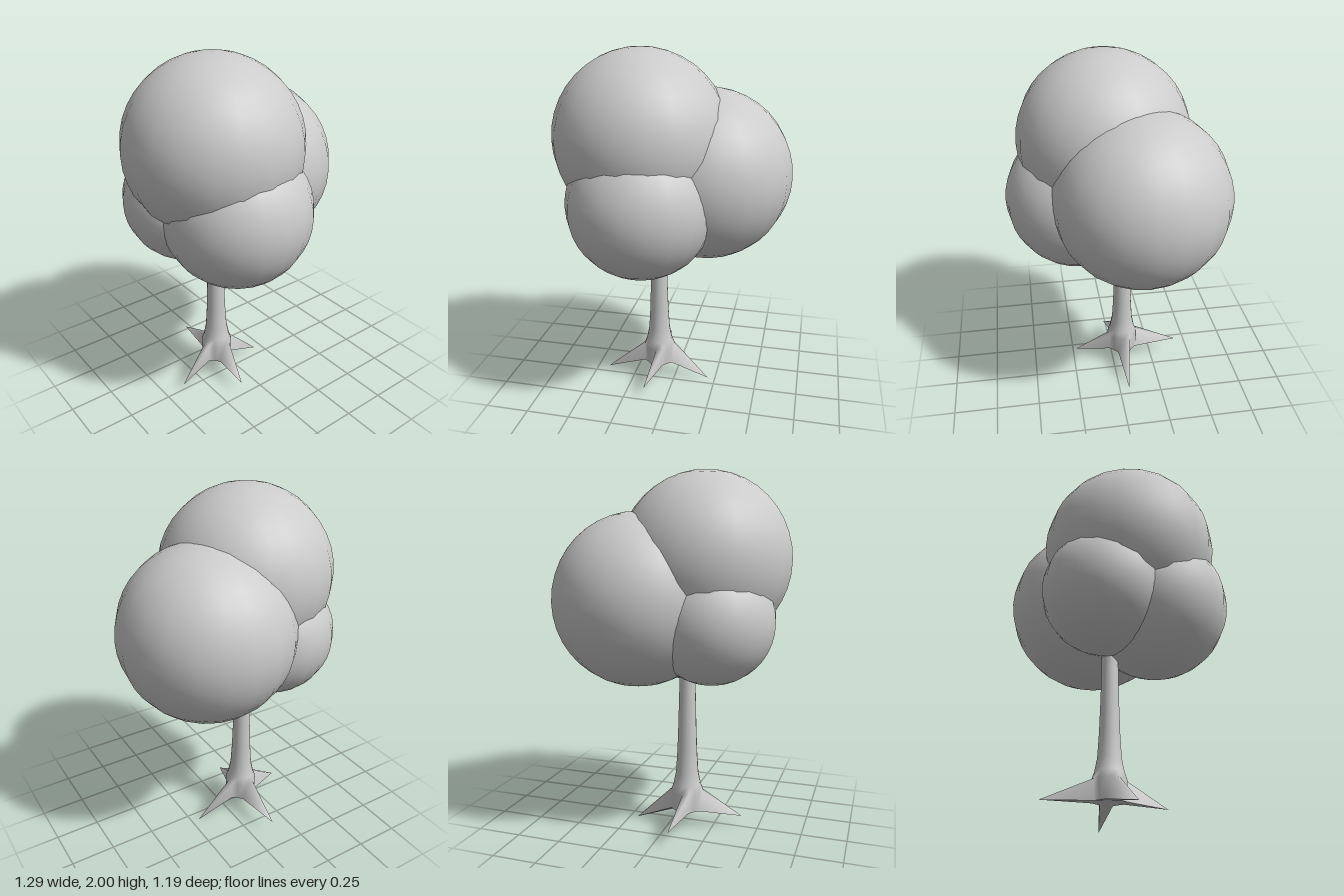
import * as THREE from 'three';

const material = new THREE.MeshStandardMaterial({ color: 0xcccccc, side: THREE.DoubleSide });
const TRUNK_X = -0.1, TRUNK_Z = -0.06, SIDES = 16;

// Root tips in order +x, +z, -x, -z
const ROOT_TIPS = [
  [0.205, 0, -0.06],
  [-0.13, 0.07, 0.235],
  [-0.405, 0.055, 0.02],
  [-0.1, 0.1, -0.41],
];

// Trunk rings above the roots: [height, radius]
const TRUNK_RINGS = [[0.21, 0.092], [0.25, 0.078], [0.32, 0.064], [0.45, 0.056], [0.6, 0.051], [0.8, 0.046], [1.2, 0.044]];

function ringPoint(i, y, r) {
  const a = (i / SIDES) * Math.PI * 2;
  return [TRUNK_X + r * Math.cos(a), y, TRUNK_Z + r * Math.sin(a)];
}

// Star-shaped ring: a pointed root every fourth corner, shallow valleys between
function rootPoint(i) {
  const k = i % 4;
  if (k === 0) return ROOT_TIPS[i / 4];
  return ringPoint(i, 0.1, k === 2 ? 0.08 : 0.09);
}

function geometryFrom(points, index) {
  const g = new THREE.BufferGeometry();
  g.setAttribute('position', new THREE.Float32BufferAttribute(points.flat(), 3));
  g.setIndex(index);
  g.computeVertexNormals();
  return g;
}

function trunkGeometry() {
  const points = [], index = [];
  for (let i = 0; i < SIDES; i++) points.push(rootPoint(i));
  for (const [y, r] of TRUNK_RINGS) {
    for (let i = 0; i < SIDES; i++) points.push(ringPoint(i, y, r));
  }
  for (let j = 0; j < TRUNK_RINGS.length; j++) {
    for (let i = 0; i < SIDES; i++) {
      const n = (i + 1) % SIDES;
      const a = j * SIDES + i, b = j * SIDES + n;
      index.push(a, a + SIDES, b, b, a + SIDES, b + SIDES);
    }
  }
  return geometryFrom(points, index);
}

function undersideGeometry() {
  const points = [[TRUNK_X, 0.11, TRUNK_Z]], index = [];
  for (let i = 0; i < SIDES; i++) {
    points.push(rootPoint(i));
    index.push(0, i + 1, ((i + 1) % SIDES) + 1);
  }
  return geometryFrom(points, index);
}

export function createModel() {
  const tree = new THREE.Group();
  tree.name = 'tree';

  const add = (name, geometry, parent = tree) => {
    const mesh = new THREE.Mesh(geometry, material);
    mesh.name = name;
    parent.add(mesh);
    return mesh;
  };

  // Flared trunk with four roots
  add('trunk', trunkGeometry());
  add('rootUnderside', undersideGeometry());

  // Overlapping leaf balls: name, radius, centre
  const crown = new THREE.Group();
  crown.name = 'crown';
  tree.add(crown);
  const balls = [
    ['topFoliage', 0.48, -0.17, 1.52, 0.035],
    ['leftFoliage', 0.478, 0.165, 1.302, -0.118],
    ['frontFoliage', 0.405, -0.135, 1.195, 0.19],
    ['backFoliage', 0.345, -0.25, 1.2, -0.115],
  ];
  for (const [name, r, x, y, z] of balls) {
    add(name, new THREE.SphereGeometry(r, 20, 20), crown).position.set(x, y, z);
  }
  return tree;
}
